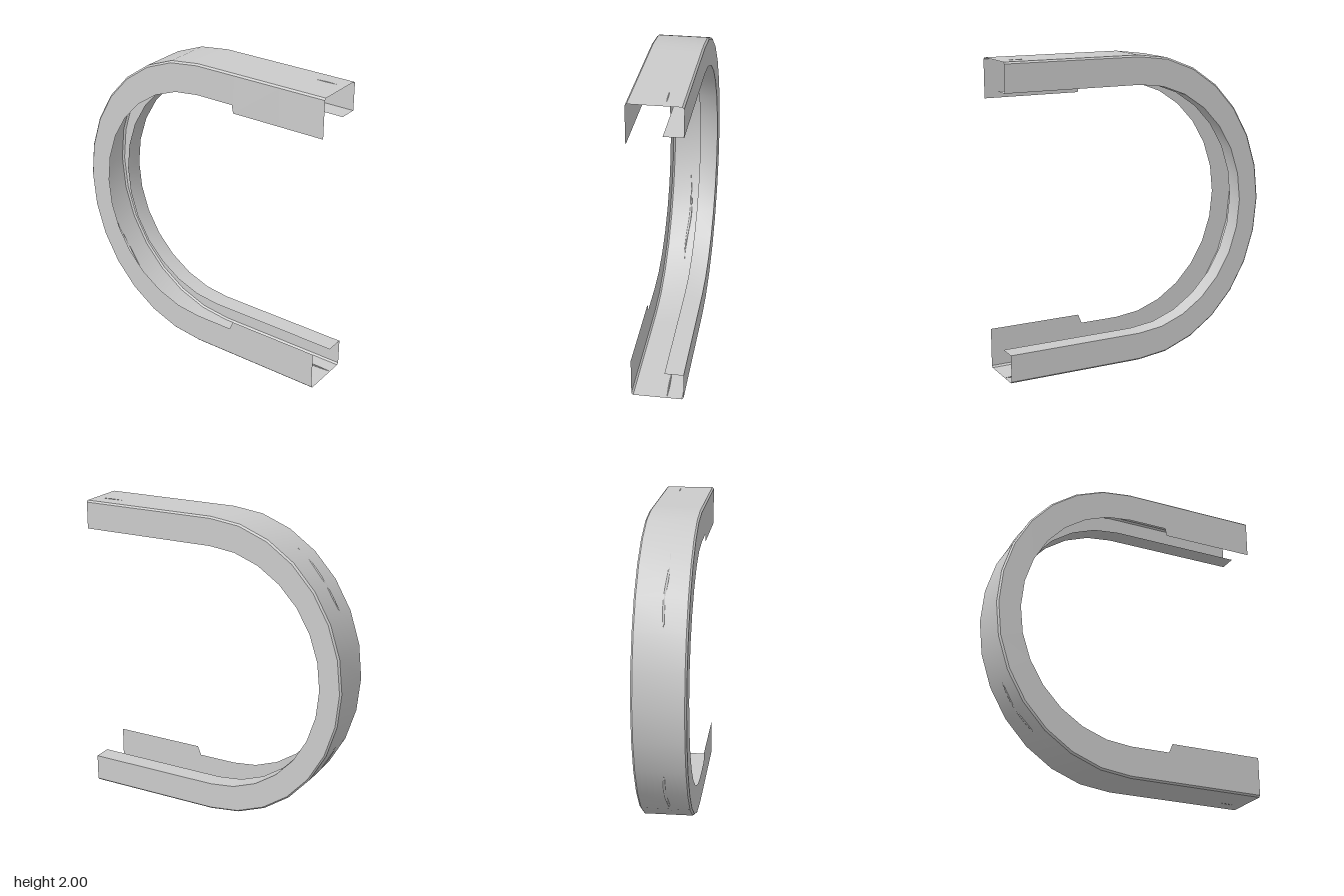
import * as THREE from 'three';

const A = 0.905;          // arm end, and half width of the bend
const Z = 0.165;          // half depth of the channel
const BEVEL = 0.011;
const material = new THREE.MeshStandardMaterial({ color: 0xcccccc, side: THREE.DoubleSide });

// Stations from the upper arm end, round the bend, to the lower arm end
const STEPS = 14;
const stations = [];
for (const x of [A, 0.6, 0.272, 0.262, 0.13]) stations.push({ x, s: 1 });
for (let i = 0; i <= STEPS; i++) stations.push({ angle: Math.PI / 2 + (Math.PI * i) / STEPS });
for (const x of [0.13, 0.26, 0.285, 0.6, A]) stations.push({ x, s: -1 });

// A line following the U: rx and ry are the radii of its elliptical bend
function line(rx, ry, z, armRise = () => 0) {
  return stations.map(({ x, s, angle }) => angle === undefined
    ? [x, 1 + s * (ry - armRise(x, s)), z]
    : [rx * Math.cos(angle), 1 + ry * Math.sin(angle), z]);
}

// Smooth sheet between two lines
function strip(name, a, b) {
  const index = [];
  for (let i = 0; i < a.length - 1; i++) {
    const p = 2 * i;
    index.push(p, p + 1, p + 2, p + 1, p + 3, p + 2);
  }
  const g = new THREE.BufferGeometry();
  g.setAttribute('position', new THREE.Float32BufferAttribute(a.flatMap((p, i) => [...p, ...b[i]]), 3));
  g.setIndex(index);
  g.computeVertexNormals();
  const mesh = new THREE.Mesh(g, material);
  mesh.name = name;
  return mesh;
}

// Thin tapered crease lying on the outer skin
function crease(points, radius) {
  const curve = new THREE.CatmullRomCurve3(points.map(p => new THREE.Vector3(...p)));
  const g = new THREE.TubeGeometry(curve, 16, radius, 5);
  const pos = g.attributes.position, v = new THREE.Vector3();
  for (let i = 0; i < pos.count; i++) {
    const t = Math.floor(i / 6) / 16;
    const c = curve.getPointAt(t);
    v.fromBufferAttribute(pos, i).sub(c).multiplyScalar(Math.sin(Math.PI * t)).add(c);
    pos.setXYZ(i, v.x, v.y, v.z);
  }
  g.computeVertexNormals();
  const mesh = new THREE.Mesh(g, material);
  mesh.name = 'skinCrease';
  return mesh;
}

export function createModel() {
  const group = new THREE.Group();
  group.name = 'curvedChannel';

  // The front wall is deeper along the arms, beyond a small step
  const step = (x, s) => (x > (s > 0 ? 0.27 : 0.28) ? (s > 0 ? 0.052 : 0.06) : 0);
  const frontInner = line(0.75, 0.8, Z, step);
  const frontOuter = line(A - BEVEL, 1 - BEVEL, Z);
  const skinFront = line(A, 1, Z - BEVEL);
  const skinBack = line(A, 1, -Z + BEVEL);
  const backOuter = line(A - BEVEL, 1 - BEVEL, -Z);
  const backInner = line(0.76, 0.815, -Z);
  const flangeEdge = line(0.76, 0.815, -0.045);

  group.add(
    strip('frontWall', frontInner, frontOuter),
    strip('frontBevel', frontOuter, skinFront),
    strip('outerSkin', skinFront, skinBack),
    strip('backBevel', skinBack, backOuter),
    strip('backWall', backOuter, backInner),
    strip('innerFlange', backInner, flangeEdge),
  );

  // Creases on the bend and near the arm ends, above and below
  for (const s of [1, -1]) {
    const bend = [0, 1, 2, 3, 4, 5, 6].map(i => {
      const a = THREE.MathUtils.degToRad(119 + i * 7);
      return [A * 0.993 * Math.cos(a), 1 + s * 0.993 * Math.sin(a), 0.022 + 0.008 * Math.sin(i * 1.3)];
    });
    group.add(crease(bend, 0.008));
    group.add(crease([[0.65, 1 + s * 0.997, -0.053], [0.78, 1 + s * 0.997, -0.057], [A, 1 + s * 0.997, -0.06]], 0.005));
  }
  return group;
}
